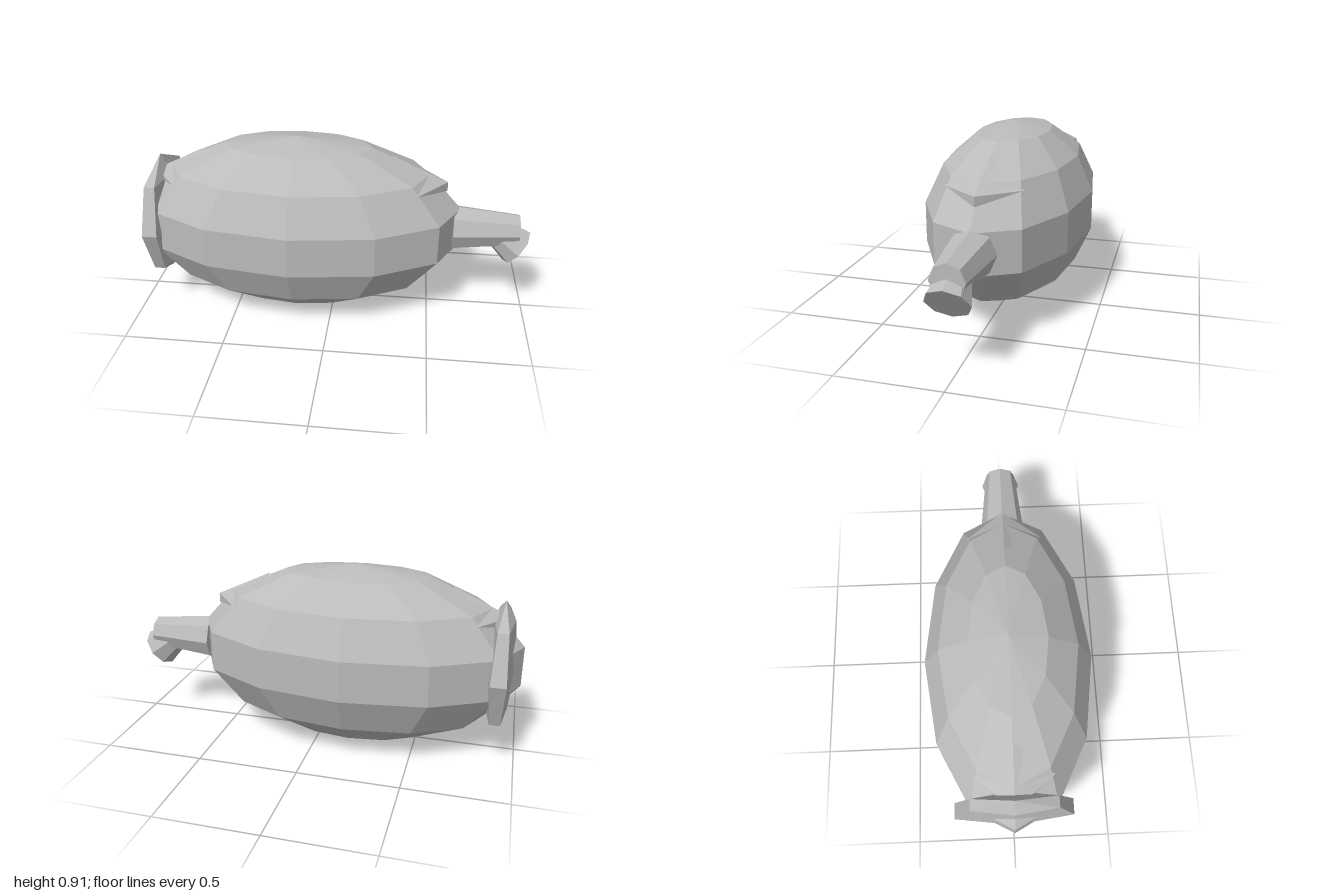
import * as THREE from 'three';
import { ConvexGeometry } from 'three/addons/geometries/ConvexGeometry.js';

const MID_X = -0.18;
const MID_Y = 0.457;

export function createModel() {
  const group = new THREE.Group();
  const grey = new THREE.MeshStandardMaterial({ color: 0xbbbbbb });
  grey.name = 'grey';
  grey.flatShading = true;

  const add = (name, geometry) => {
    const mesh = new THREE.Mesh(geometry, grey);
    mesh.name = name;
    group.add(mesh);
    return mesh;
  };

  // Stretched, faceted body with its poles at top and bottom
  const body = add('body', new THREE.SphereGeometry(1, 12, 7));
  body.scale.set(0.841, MID_Y, 0.4245);
  body.position.set(MID_X, MID_Y, 0);

  // Flattened faceted disc around the blunt end
  const collar = add('collar', new THREE.SphereGeometry(1, 6, 4));
  collar.scale.set(0.075, 0.328, 0.328);
  collar.position.set(-0.894, MID_Y, 0);

  // Eight-sided tube running between two points in the x-y plane
  const tube = (name, from, to, r0, r1) => {
    const [dx, dy] = [to[0] - from[0], to[1] - from[1]];
    const mesh = add(name, new THREE.CylinderGeometry(r1, r0, Math.hypot(dx, dy), 8));
    mesh.position.set((from[0] + to[0]) / 2, (from[1] + to[1]) / 2, 0);
    mesh.rotation.z = Math.atan2(dy, dx) - Math.PI / 2;
  };
  tube('spout', [0.605, MID_Y], [0.935, MID_Y], 0.115, 0.08);
  tube('spoutTip', [0.83, 0.438], [0.935, 0.361], 0.07, 0.103);

  // Shallow chevron ridge, mirrored at both ends of the body
  for (const side of [1, -1]) {
    const points = [
      [0.745, 0.703, 0], [0.745, 0.655, 0],
      [0.595, 0.703, 0.187], [0.595, 0.703, -0.187],
      [0.465, 0.833, 0],
    ].map(([x, y, z]) => new THREE.Vector3(MID_X + side * x, y, z));
    add(side > 0 ? 'spoutEndRidge' : 'collarEndRidge', new ConvexGeometry(points));
  }

  return group;
}
